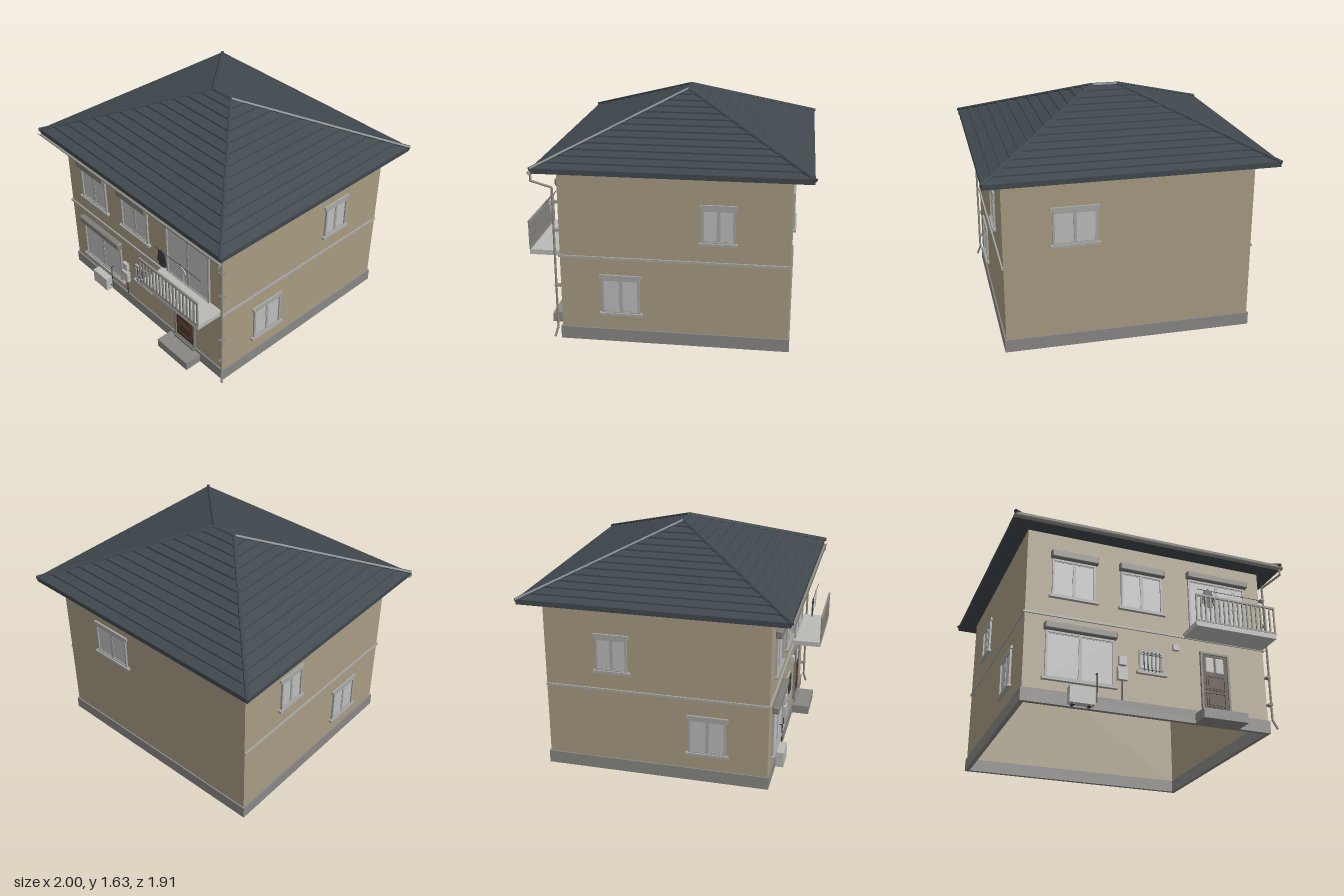
import * as THREE from 'three';
import { RoundedBoxGeometry } from 'three/addons/geometries/RoundedBoxGeometry.js';

const mat = (name, color, extra = {}) => Object.assign(new THREE.MeshStandardMaterial({ color, ...extra }), { name });
const M = {
  wall: mat('tan wall', 0xa79b82),
  roof: mat('slate roof', 0x40484e, { flatShading: true }),
  stone: mat('foundation grey', 0x888784),
  glass: mat('pale glass', 0xbdbdbe),
  frame: mat('window frame grey', 0xa6a6a4),
  shutter: mat('shutter grey', 0x7f7d77),
  metal: mat('balcony metal', 0x8c8a82, { side: THREE.DoubleSide }),
  wood: mat('door brown', 0x4f382b),
  white: mat('light plastic', 0xb9b9b6),
  dark: mat('dark iron', 0x3a3d40),
};

function add(parent, name, geo, material, x = 0, y = 0, z = 0) {
  const m = new THREE.Mesh(geo, material);
  m.name = name;
  m.position.set(x, y, z);
  parent.add(m);
  return m;
}

// Box given by its minimum and maximum corners
function box(parent, name, material, x0, x1, y0, y1, z0, z1) {
  return add(parent, name, new THREE.BoxGeometry(x1 - x0, y1 - y0, z1 - z0), material,
    (x0 + x1) / 2, (y0 + y1) / 2, (z0 + z1) / 2);
}

// Round bar between two points
function bar(parent, name, material, a, b, r, sides = 8) {
  const p = new THREE.Vector3(...a), q = new THREE.Vector3(...b);
  const m = add(parent, name, new THREE.CylinderGeometry(r, r, p.distanceTo(q), sides), material);
  m.position.copy(p).lerp(q, 0.5);
  m.quaternion.setFromUnitVectors(new THREE.Vector3(0, 1, 0), q.sub(p).normalize());
  return m;
}

function rect(C, x0, x1, y0, y1) {
  const s = new C();
  s.moveTo(x0, y0).lineTo(x1, y0).lineTo(x1, y1).lineTo(x0, y1).closePath();
  return s;
}

// Rectangular ring with border t, extruded along z
function ring(x0, x1, y0, y1, t, depth) {
  const s = rect(THREE.Shape, x0, x1, y0, y1);
  s.holes.push(rect(THREE.Path, x0 + t, x1 - t, y0 + t, y1 - t));
  return new THREE.ExtrudeGeometry(s, { depth, bevelEnabled: false });
}

// Sliding window facing +z, centred on x = 0, between heights y0 and y1
function makeWindow(name, w, y0, y1, { shutter = 0, hood = 0, sill = true, mullion = true } = {}) {
  const g = new THREE.Group(), h = w / 2;
  g.name = name;
  add(g, 'windowFrame', ring(-h, h, y0, y1, 0.014, 0.032), M.frame, 0, 0, -0.018);
  box(g, 'windowGlass', M.glass, -h + 0.01, h - 0.01, y0 + 0.01, y1 - 0.01, -0.012, 0.004);
  if (mullion) {
    box(g, 'windowMullion', M.frame, -0.007, 0.007, y0 + 0.01, y1 - 0.01, -0.015, 0.009);
    for (const s of [-1, 1]) // thin sash rims
      add(g, 'windowSash', ring(-h / 2 + 0.006, h / 2 - 0.006, y0 + 0.013, y1 - 0.013, 0.006, 0.004), M.frame, s * h / 2, 0, 0.003);
  }
  if (sill) box(g, 'windowSill', M.frame, -h - 0.02, h + 0.02, y0 - 0.012, y0 + 0.006, -0.005, 0.025);
  if (hood) box(g, 'windowHood', M.frame, -h - 0.015, h + 0.015, y1, y1 + hood, -0.005, 0.014);
  if (shutter) add(g, 'shutterBox', new RoundedBoxGeometry(w + 0.03, shutter, 0.047, 3, 0.01), M.shutter, 0, y1 + shutter / 2, 0.022);
  return g;
}

// Hip roof as one strip of rectangular loops: soffit, eave, then stepped courses
function roofGeometry(rows) {
  const loop = (hx, zf, zb, y) => [[hx, y, zf], [hx, y, zb], [-hx, y, zb], [-hx, y, zf]];
  const at = (t, lift) => loop(0.985 - 0.89 * t, 0.872 - 0.907 * t, -0.942 + 0.907 * t, 1.247 + 0.372 * t + lift);
  const loops = [loop(0, -0.035, -0.035, 1.222), loop(0.985, 0.872, -0.942, 1.222)];
  for (let i = 0; i < rows; i++) loops.push(at(i / rows, 0), at(i / rows, 0.01));
  loops.push(at(1, 0));
  const pos = [];
  for (let i = 0; i + 1 < loops.length; i++) {
    for (let j = 0; j < 4; j++) {
      const k = (j + 1) % 4, a = loops[i], b = loops[i + 1];
      pos.push(...a[j], ...a[k], ...b[k], ...a[j], ...b[k], ...b[j]);
    }
  }
  const g = new THREE.BufferGeometry();
  g.setAttribute('position', new THREE.Float32BufferAttribute(pos, 3));
  g.computeVertexNormals();
  return g;
}

// Half outline of a hanging shirt, mirrored and given a little thickness
function shirtGeometry(w, h, sleeve) {
  const half = [[0.012, 0], [w * 0.6, -0.008], [w, -sleeve], [w * 0.75, -sleeve - 0.012], [w * 0.6, -0.035], [w * 0.6, -h]];
  const pts = [...half, ...half.slice().reverse().map(([x, y]) => [-x, y])].map(p => new THREE.Vector2(...p));
  return new THREE.ExtrudeGeometry(new THREE.Shape(pts), { depth: 0.006, bevelEnabled: false });
}

export function createModel() {
  const house = new THREE.Group();
  house.name = 'house';
  const F = 0.74, B = -0.81, W = 0.86;

  // Hollow walls on an open foundation ring
  const upright = (name, geo, material, y) => { add(house, name, geo, material, 0, y, 0).rotation.x = -Math.PI / 2; };
  upright('foundation', ring(-0.87, 0.87, -F - 0.01, -B + 0.01, 0.03, 0.09), M.stone, 0);
  upright('walls', ring(-W, W, -F, -B, 0.01, 1.145), M.wall, 0.085);

  // Storey band on the front and both sides
  box(house, 'frontBand', M.frame, -0.87, 0.87, 0.604, 0.62, F - 0.002, F + 0.01);
  for (const s of [-1, 1]) box(house, 'sideBand', M.frame, s * 0.865 - 0.006, s * 0.865 + 0.006, 0.604, 0.62, B, F + 0.01);

  // Roof with hip and ridge caps
  add(house, 'roof', roofGeometry(13), M.roof);
  for (const s of [-1, 1])
    for (const [z, zr] of [[0.88, -0.035], [-0.945, -0.035]])
      bar(house, 'hipCap', M.roof, [s * 0.988, 1.252, z], [s * 0.092, 1.622, zr], 0.014, 6);
  bar(house, 'ridgeCap', M.roof, [-0.1, 1.62, -0.035], [0.1, 1.62, -0.035], 0.014, 6);

  // Gutter and downpipe
  const gutter = add(house, 'gutter', new THREE.CylinderGeometry(0.02, 0.02, 1.98, 10, 1, true, Math.PI, Math.PI), M.metal, 0, 1.23, 0.877);
  gutter.rotation.z = Math.PI / 2;
  const pipe = [[0.968, 1.215, 0.88], [0.968, 1.17, 0.88], [0.878, 1.1, 0.768], [0.878, 0.09, 0.768], [0.902, 0.025, 0.785]];
  for (let i = 0; i < 4; i++) {
    bar(house, 'downpipe', M.metal, pipe[i], pipe[i + 1], 0.008);
    if (i) add(house, 'pipeElbow', new THREE.SphereGeometry(0.0085, 8, 6), M.metal, ...pipe[i]);
  }
  for (const y of [0.2, 0.4, 0.8, 1.0]) box(house, 'pipeBracket', M.metal, 0.855, 0.888, y - 0.006, y + 0.006, 0.735, 0.778);

  // Front windows
  const place = (g, x, z, turn = 0) => { g.position.set(x, 0, z); g.rotation.y = turn; house.add(g); };
  for (const x of [-0.537, -0.053]) place(makeWindow('upperWindow', 0.3, 0.752, 1.03, { shutter: 0.055 }), x, F);
  place(makeWindow('livingRoomWindow', 0.465, 0.17, 0.5, { shutter: 0.052 }), -0.487, F);
  place(makeWindow('balconyWindow', 0.44, 0.635, 1.068, { shutter: 0.052, sill: false }), 0.517, F);
  const barred = makeWindow('barredWindow', 0.175, 0.305, 0.46, { mullion: false });
  for (let i = 0; i < 5; i++) bar(barred, 'windowBar', M.dark, [-0.056 + i * 0.028, 0.31, 0.018], [-0.056 + i * 0.028, 0.455, 0.018], 0.0035, 6);
  for (const y of [0.33, 0.435]) box(barred, 'barRail', M.frame, -0.08, 0.08, y - 0.003, y + 0.003, 0.008, 0.02);
  place(barred, 0.008, F);

  // Side and back windows
  for (const s of [-1, 1]) {
    place(makeWindow('sideUpperWindow', 0.218, 0.752, 0.993, { hood: 0.026 }), s * W, -0.335, s * Math.PI / 2);
    place(makeWindow('sideLowerWindow', 0.258, 0.21, 0.467, { hood: 0.024 }), s * W, 0.325, s * Math.PI / 2);
  }
  place(makeWindow('backWindow', 0.3, 0.752, 0.993, { hood: 0.026 }), 0.38, B, Math.PI);

  // Front door with two rounded lights and two raised panels
  const door = new THREE.Group();
  door.name = 'frontDoor';
  add(door, 'doorFrame', ring(-0.107, 0.107, 0.085, 0.522, 0.014, 0.032), M.shutter, 0, 0, -0.015);
  box(door, 'doorLeaf', M.wood, -0.095, 0.095, 0.088, 0.51, -0.013, 0.008);
  for (const s of [-1, 1])
    add(door, 'doorGlass', new RoundedBoxGeometry(0.068, 0.118, 0.028, 3, 0.012), M.glass, s * 0.037, 0.432, -0.002);
  for (const y of [0.3, 0.182]) {
    add(door, 'doorPanelTrim', ring(-0.07, 0.07, y - 0.051, y + 0.051, 0.006, 0.006), M.wood, 0, 0, 0.008);
    box(door, 'doorPanel', M.wood, -0.055, 0.055, y - 0.037, y + 0.037, 0.006, 0.013);
  }
  add(door, 'doorKnob', new THREE.SphereGeometry(0.006, 8, 6), M.metal, -0.083, 0.3, 0.014);
  place(door, 0.472, F);
  box(house, 'doorStep', M.stone, 0.312, 0.632, 0, 0.066, F, 0.877);
  box(house, 'doorSill', M.stone, 0.365, 0.58, 0.066, 0.088, F, F + 0.025);

  // Balcony slab with a front railing
  box(house, 'balconySlab', M.white, 0.25, 0.85, 0.608, 0.643, F, 0.95);
  box(house, 'balconyTopRail', M.metal, 0.25, 0.85, 0.832, 0.846, 0.941, 0.955);
  box(house, 'balconyBottomRail', M.metal, 0.25, 0.85, 0.643, 0.655, 0.943, 0.953);
  for (let i = 0; i < 18; i++) {
    const x = 0.256 + i * 0.588 / 17;
    box(house, 'baluster', M.metal, x - 0.005, x + 0.005, 0.643, 0.835, 0.943, 0.953);
  }

  // Laundry on a line
  bar(house, 'clothesLine', M.dark, [0.31, 0.937, 0.862], [0.78, 0.937, 0.862], 0.002, 6);
  add(house, 'darkShirt', shirtGeometry(0.05, 0.13, 0.1), M.dark, 0.39, 0.94, 0.859);
  add(house, 'whiteShirt', shirtGeometry(0.055, 0.115, 0.04), M.white, 0.582, 0.935, 0.859);
  for (const x of [0.39, 0.582]) add(house, 'hanger', new THREE.TorusGeometry(0.007, 0.0015, 5, 12), M.dark, x, 0.944, 0.862);

  // Air conditioner, meters and vent on the front wall
  box(house, 'airConditioner', M.white, -0.57, -0.402, 0.01, 0.122, F + 0.012, 0.808);
  for (const x of [-0.55, -0.44]) box(house, 'airConditionerFoot', M.dark, x, x + 0.018, 0, 0.011, F + 0.015, 0.8);
  bar(house, 'coolantPipe', M.dark, [-0.405, 0.05, 0.765], [-0.376, 0.05, 0.765], 0.004, 6);
  bar(house, 'coolantPipe', M.dark, [-0.376, 0.047, 0.765], [-0.376, 0.245, 0.765], 0.004, 6);
  bar(house, 'coolantPipe', M.dark, [-0.376, 0.243, 0.768], [-0.376, 0.243, F - 0.005], 0.004, 6);
  bar(house, 'meterConduit', M.dark, [-0.2, 0.09, 0.748], [-0.2, 0.38, 0.748], 0.005, 6);
  box(house, 'upperMeter', M.white, -0.225, -0.173, 0.332, 0.394, F, 0.765);
  box(house, 'lowerMeter', M.white, -0.235, -0.167, 0.226, 0.314, F, 0.77);
  box(house, 'wallVent', M.white, 0.164, 0.207, 0.498, 0.54, F, 0.765);

  return house;
}
